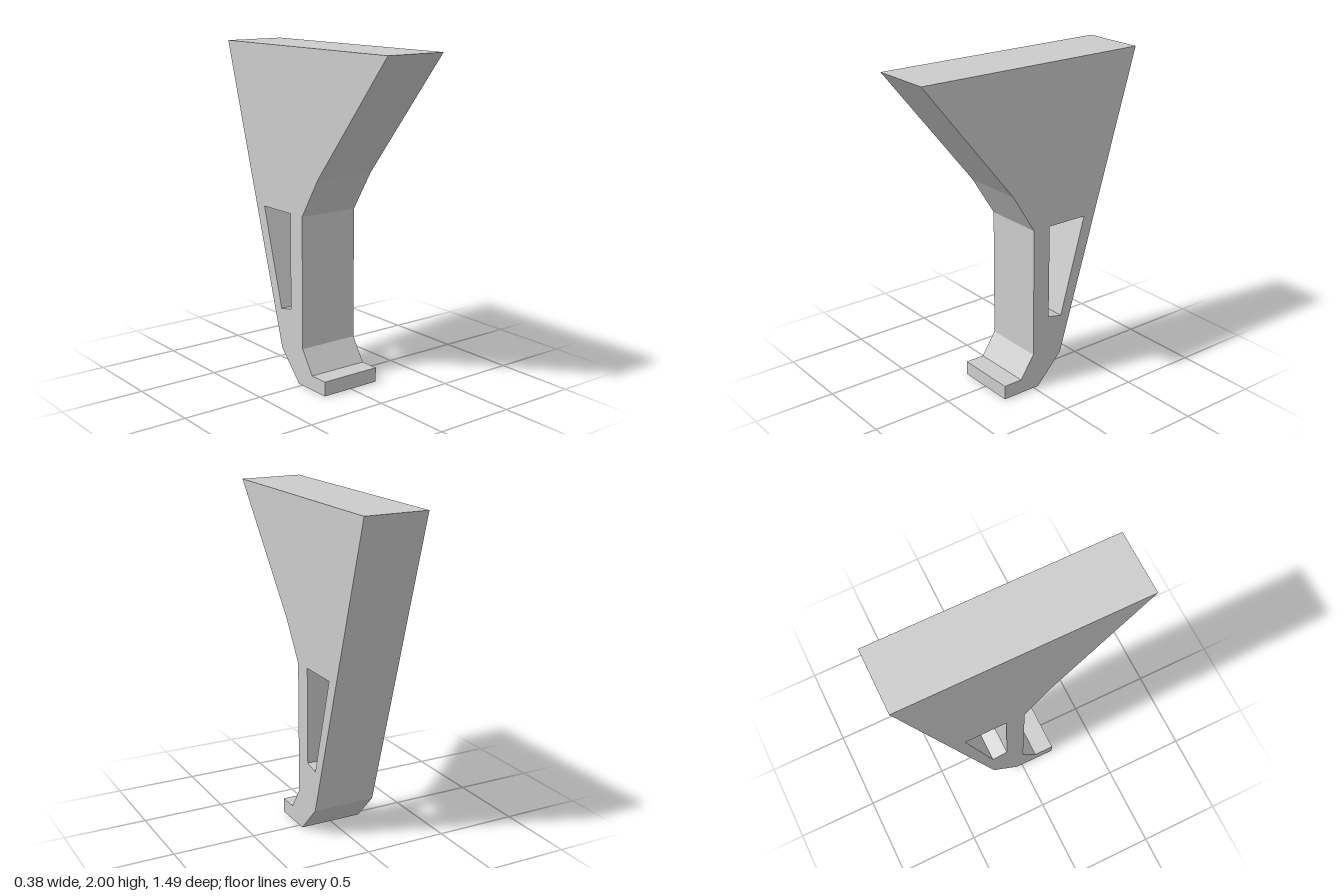
import * as THREE from 'three';

const WIDTH = 0.385;

// Outline points are [z, y]
const toPoints = (list) => list.map(([z, y]) => new THREE.Vector2(z, y));

export function createModel() {
  const group = new THREE.Group();
  group.name = 'bracketLeg';

  // Side profile: foot, shank, flared top
  const profile = new THREE.Shape(toPoints([
    [0.22, 0], [0.22, 0.088], [0.097, 0.088], [0.004, 0.228],
    [0.004, 1.03], [0.155, 1.27], [0.745, 2], [-0.745, 2],
    [-0.205, 0.178], [-0.035, 0],
  ]));

  // Tapered window through the shank
  profile.holes.push(new THREE.Path(toPoints([
    [-0.112, 1.03], [-0.377, 1.03], [-0.208, 0.427], [-0.112, 0.447],
  ])));

  // Extrude across the width and turn the profile to face sideways
  const geometry = new THREE.ExtrudeGeometry(profile, { depth: WIDTH, bevelEnabled: false });
  geometry.translate(0, 0, -WIDTH / 2);
  geometry.rotateY(-Math.PI / 2);

  const body = new THREE.Mesh(
    geometry,
    new THREE.MeshStandardMaterial({ color: 0xcccccc, flatShading: true }),
  );
  body.name = 'legBody';
  group.add(body);
  return group;
}
